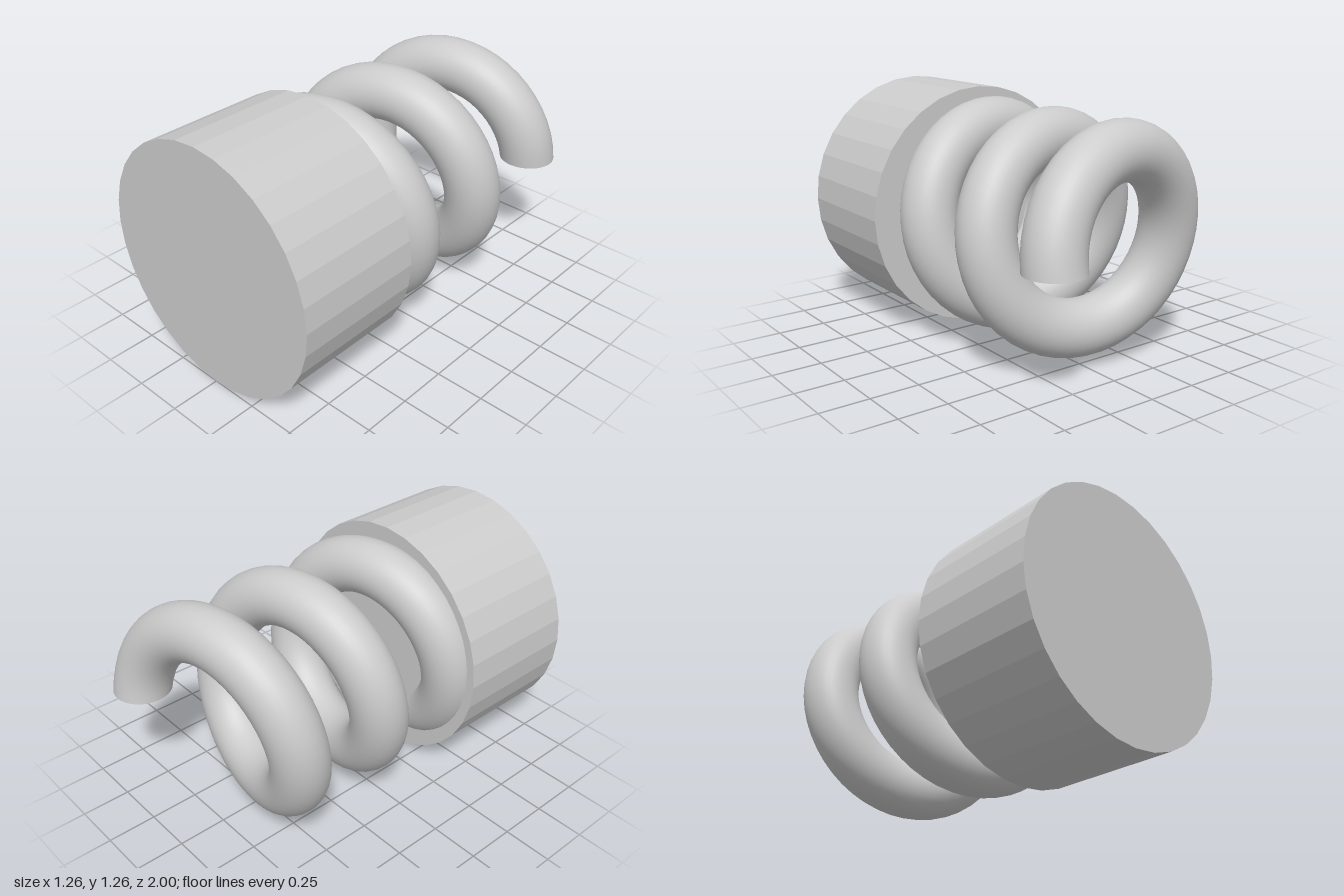
import * as THREE from 'three';
import { mergeVertices } from 'three/addons/utils/BufferGeometryUtils.js';

const CENTER_Y = 0.632, BASE_R = 0.632;
const COIL_R = 0.445, WIRE_R = 0.143, PITCH = 0.49, TURNS = 3, COIL_END = -0.857;

// A torus wound several times and sheared along z into a helix
function coilGeometry() {
  const torus = new THREE.TorusGeometry(COIL_R, WIRE_R, 32, 48 * TURNS, Math.PI * 2 * TURNS);
  const pos = torus.attributes.position;
  const perRing = 48 * TURNS + 1;
  for (let i = 0; i < pos.count; i++) {
    const turn = (i % perRing) / 48;
    pos.setZ(i, pos.getZ(i) + COIL_END + PITCH * turn);
  }
  torus.deleteAttribute('uv');
  torus.deleteAttribute('normal');
  const coil = mergeVertices(torus, 1e-5);
  coil.computeVertexNormals();
  return coil;
}

export function createModel() {
  const group = new THREE.Group();
  const smooth = new THREE.MeshStandardMaterial({ color: 0xcccccc });
  const faceted = new THREE.MeshStandardMaterial({ color: 0xcccccc, flatShading: true });

  const add = (name, geometry, material, x, y, z) => {
    const mesh = new THREE.Mesh(geometry, material);
    mesh.name = name;
    mesh.position.set(x, y, z);
    group.add(mesh);
    return mesh;
  };

  // Solid drum at the front
  const drum = new THREE.CylinderGeometry(BASE_R, BASE_R, 0.66, 32).rotateX(Math.PI / 2);
  add('drum', drum, faceted, 0, CENTER_Y, 0.67);

  // Spring running back from inside the drum
  add('springCoil', coilGeometry(), smooth, 0, CENTER_Y, 0);

  // Flat wire ends: the free one faces down, the buried one up
  const disc = new THREE.CircleGeometry(WIRE_R, 32);
  add('springFreeEnd', disc, smooth, COIL_R, CENTER_Y, COIL_END).rotation.x = Math.PI / 2;
  add('springBuriedEnd', disc, smooth, COIL_R, CENTER_Y, COIL_END + PITCH * TURNS).rotation.x = -Math.PI / 2;

  return group;
}
